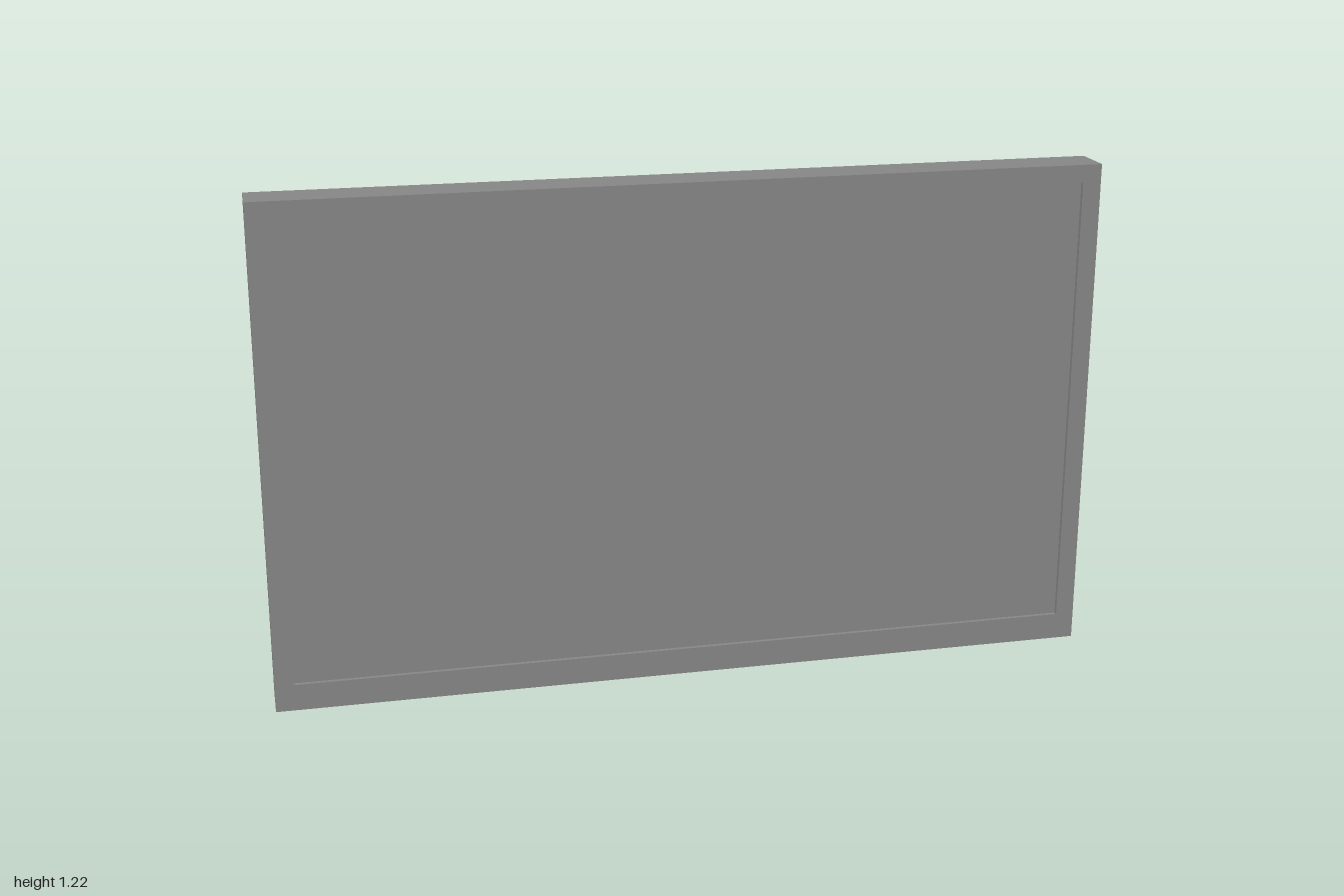
import * as THREE from 'three';

const material = new THREE.MeshStandardMaterial({ color: 0x878787, flatShading: true });
const PIVOT_X = -0.006, MID_Y = 0.611;
const ELBOW = [-0.585, -0.07], WALL = [PIVOT_X, -0.163], HEAD = [PIVOT_X, -0.064];

function add(parent, name, geometry, x = 0, y = 0, z = 0) {
  const mesh = new THREE.Mesh(geometry, material);
  mesh.name = name;
  mesh.position.set(x, y, z);
  parent.add(mesh);
  return mesh;
}

// Box given by its lower and upper limits on each axis
function box(parent, name, [x0, x1], [y0, y1], [z0, z1]) {
  return add(parent, name, new THREE.BoxGeometry(x1 - x0, y1 - y0, z1 - z0),
    (x0 + x1) / 2, (y0 + y1) / 2, (z0 + z1) / 2);
}

// Upright eight-sided cylinder
function post(parent, name, [x, z], r, y0, y1) {
  const g = new THREE.CylinderGeometry(r, r, y1 - y0, 8);
  g.rotateY(Math.PI / 8);
  return add(parent, name, g, x, (y0 + y1) / 2, z);
}

// Eight-sided cylinder lying along x
function barrel(parent, name, x0, x1, r, z) {
  const g = new THREE.CylinderGeometry(r, r, x1 - x0, 8);
  g.rotateZ(Math.PI / 2);
  return add(parent, name, g, (x0 + x1) / 2, MID_Y, z);
}

// Display body: rectangular sections from the recessed screen round to the back
function panelGeometry() {
  const rings = [
    [0.955, 0.065, 1.177, 0.24],
    [0.955, 0.065, 1.177, 0.25],
    [1, 0, 1.22, 0.25],
    [1, 0, 1.22, 0.143],
    [0.975, 0.11, 1.11, 0.105],
  ].map(([w, y0, y1, z]) => [[-w, y0, z], [w, y0, z], [w, y1, z], [-w, y1, z]]);
  const pos = [];
  const quad = (a, b, c, d) => pos.push(...a, ...b, ...c, ...a, ...c, ...d);
  quad(...rings[0]);
  for (let i = 0; i < rings.length - 1; i++) {
    for (let j = 0; j < 4; j++) {
      const k = (j + 1) % 4;
      quad(rings[i][j], rings[i + 1][j], rings[i + 1][k], rings[i][k]);
    }
  }
  quad(...[...rings[rings.length - 1]].reverse());
  const g = new THREE.BufferGeometry();
  g.setAttribute('position', new THREE.Float32BufferAttribute(pos, 3));
  g.computeVertexNormals();
  return g;
}

// Swivel head in plan: straight sides, faceted round end to the back, blunt point to the front
function headGeometry(height) {
  const r = 0.047;
  const shape = new THREE.Shape();
  shape.moveTo(r, 0);
  shape.absarc(0, 0, r, 0, Math.PI, false);
  shape.lineTo(-r, -0.036);
  shape.lineTo(0, -0.052);
  shape.lineTo(r, -0.036);
  const g = new THREE.ExtrudeGeometry(shape, { depth: height, bevelEnabled: false, curveSegments: 5 });
  return g.rotateX(-Math.PI / 2);
}

// Flat bar between two pivots in plan
function bar(parent, name, a, b, y, width) {
  const dx = b[0] - a[0], dz = b[1] - a[1];
  const g = new THREE.BoxGeometry(Math.hypot(dx, dz), 0.03, width);
  const mesh = add(parent, name, g, (a[0] + b[0]) / 2, y, (a[1] + b[1]) / 2);
  mesh.rotation.y = -Math.atan2(dz, dx);
}

// Vertical hinge: a pin with an upper and a lower knuckle
function hinge(parent, name, at, knuckles) {
  const group = new THREE.Group();
  group.name = name;
  post(group, 'hingePin', at, 0.024, 0.463, 0.754);
  for (const [y0, y1] of knuckles) post(group, 'knuckle', at, 0.041, y0, y1);
  parent.add(group);
}

export function createModel() {
  const model = new THREE.Group();
  model.name = 'wallMountedDisplay';
  add(model, 'displayPanel', panelGeometry());

  const mount = new THREE.Group();
  mount.name = 'swingArmMount';
  model.add(mount);

  // Wall plate and the tabs that carry its hinge
  box(mount, 'wallPlate', [-0.06, 0.014], [0.498, 0.723], [-0.25, -0.212]);
  const knuckles = [[0.638, 0.718], [0.52, 0.588]];
  for (const [y0, y1] of knuckles) {
    box(mount, 'plateTab', [-0.03, 0.006], [y0, y1], [-0.22, -0.165]);
  }

  // Hinges and paired arm bars; the front pair runs into the head
  hinge(mount, 'wallHinge', WALL, knuckles);
  hinge(mount, 'elbowHinge', ELBOW, knuckles);
  for (const side of [-1, 1]) {
    bar(mount, 'rearArm', ELBOW, WALL, MID_Y + side * 0.077 + 0.008, 0.042);
    bar(mount, 'frontArm', ELBOW, HEAD, MID_Y + side * 0.045, 0.042);
  }

  // Swivel head with a nose reaching the tilt axle
  add(mount, 'swivelHead', headGeometry(0.13), HEAD[0], 0.545, HEAD[1]);
  box(mount, 'headNose', [-0.048, 0.036], [0.566, 0.656], [-0.04, 0.04]);

  // Tilt axle, with a barrel and a panel lug on either side
  barrel(mount, 'tiltAxle', -0.213, 0.175, 0.024, 0.021);
  for (const x of [-0.115, 0.101]) {
    barrel(mount, 'tiltBarrel', x - 0.05, x + 0.05, 0.056, 0.021);
    box(mount, 'panelLug', [x - 0.044, x + 0.044], [0.567, 0.656], [0.02, 0.115]);
  }
  return model;
}
